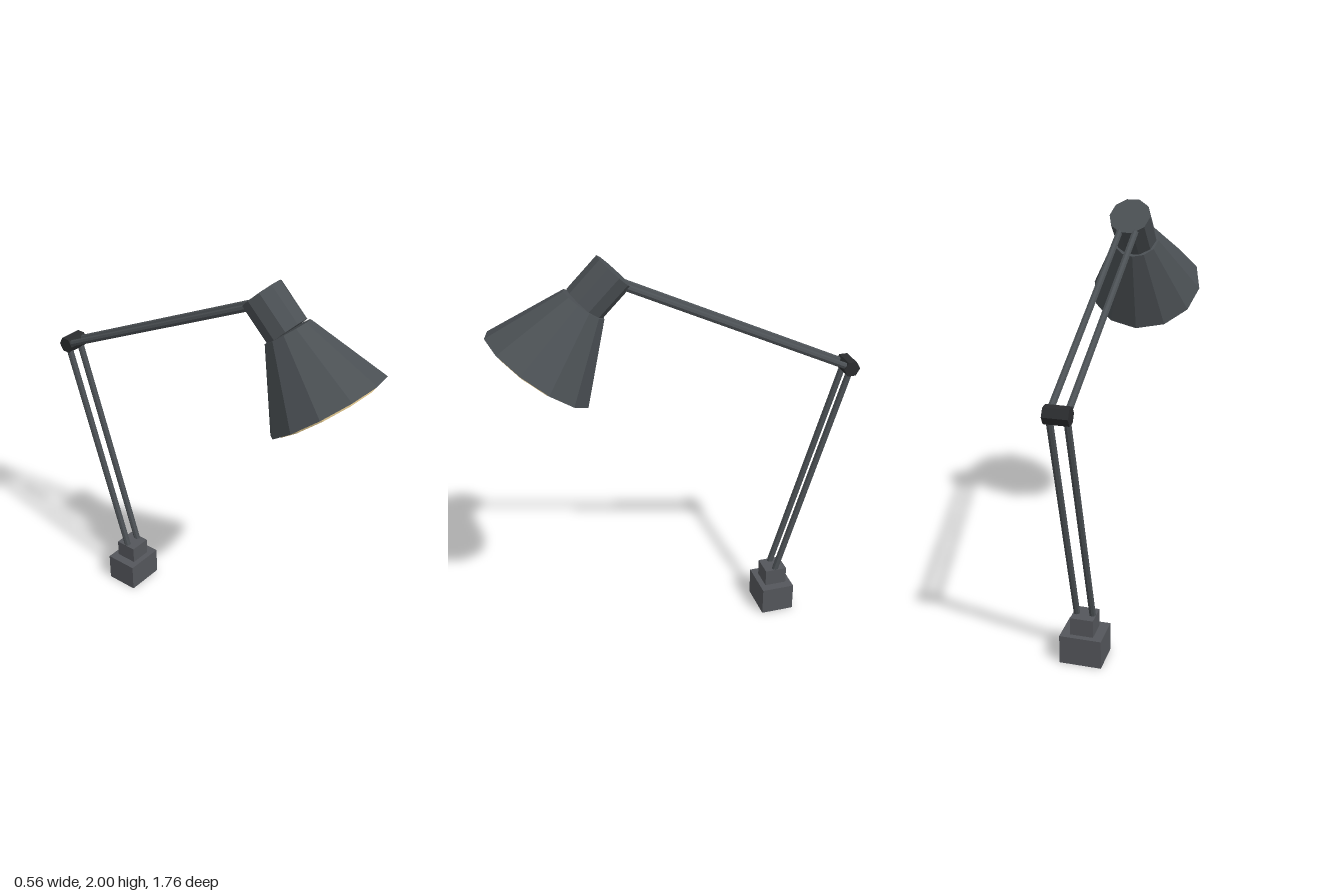
import * as THREE from 'three';

const material = (name, color) => {
  const m = new THREE.MeshStandardMaterial({ color, flatShading: true });
  m.name = name;
  return m;
};

export function createModel() {
  const lamp = new THREE.Group();
  lamp.name = 'deskLamp';
  const clampGrey = material('clamp grey', 0x54565b);
  const metal = material('dark metal', 0x4b5054);
  const black = material('joint black', 0x2b2d2f);
  const glow = material('warm bulb', 0xd0b884);

  const add = (name, geometry, mat, parent = lamp) => {
    const mesh = new THREE.Mesh(geometry, mat);
    mesh.name = name;
    parent.add(mesh);
    return mesh;
  };

  // A straight rod between two points
  const rod = (name, from, to) => {
    const dir = to.clone().sub(from);
    const mesh = add(name, new THREE.CylinderGeometry(0.016, 0.016, dir.length(), 8), metal);
    mesh.position.copy(from).add(to).multiplyScalar(0.5);
    mesh.quaternion.setFromUnitVectors(new THREE.Vector3(0, 1, 0), dir.normalize());
  };

  // Clamp base and the socket on top of it
  add('base', new THREE.BoxGeometry(0.2, 0.143, 0.168), clampGrey).position.set(0, 0.0715, -0.503);
  add('socket', new THREE.BoxGeometry(0.11, 0.087, 0.112), clampGrey).position.set(0, 0.1865, -0.504);

  // Paired arms
  for (const [side, x] of [['left', 0.038], ['right', -0.038]]) {
    const elbow = new THREE.Vector3(x, 1.342, -0.843);
    rod(side + 'LowerArm', new THREE.Vector3(x, 0.2, -0.495), elbow);
    rod(side + 'UpperArm', elbow, new THREE.Vector3(x, 1.876, 0.28));
  }

  // Hexagonal elbow joint
  const elbowGeometry = new THREE.CylinderGeometry(0.041, 0.041, 0.112, 6).rotateZ(Math.PI / 2);
  add('elbowJoint', elbowGeometry, black).position.set(0, 1.342, -0.843);

  // Lamp head: the cap and the shade tilt by different angles about one pivot
  const head = new THREE.Group();
  head.name = 'lampHead';
  head.position.set(0, 1.795, 0.44);
  lamp.add(head);

  const capGeometry = new THREE.CylinderGeometry(0.1, 0.1, 0.194, 10)
    .rotateY(Math.PI / 2).translate(0, 0.097, 0);
  add('cap', capGeometry, metal, head).rotation.x = -Math.PI / 4;

  const shadeGroup = new THREE.Group();
  shadeGroup.name = 'shadeAssembly';
  shadeGroup.rotation.x = -0.665;
  head.add(shadeGroup);
  add('shade', new THREE.CylinderGeometry(0.111, 0.28, 0.357, 12), metal, shadeGroup).position.y = -0.1785;
  add('bulbDisc', new THREE.CylinderGeometry(0.244, 0.244, 0.024, 12), glow, shadeGroup).position.y = -0.357;

  return lamp;
}
